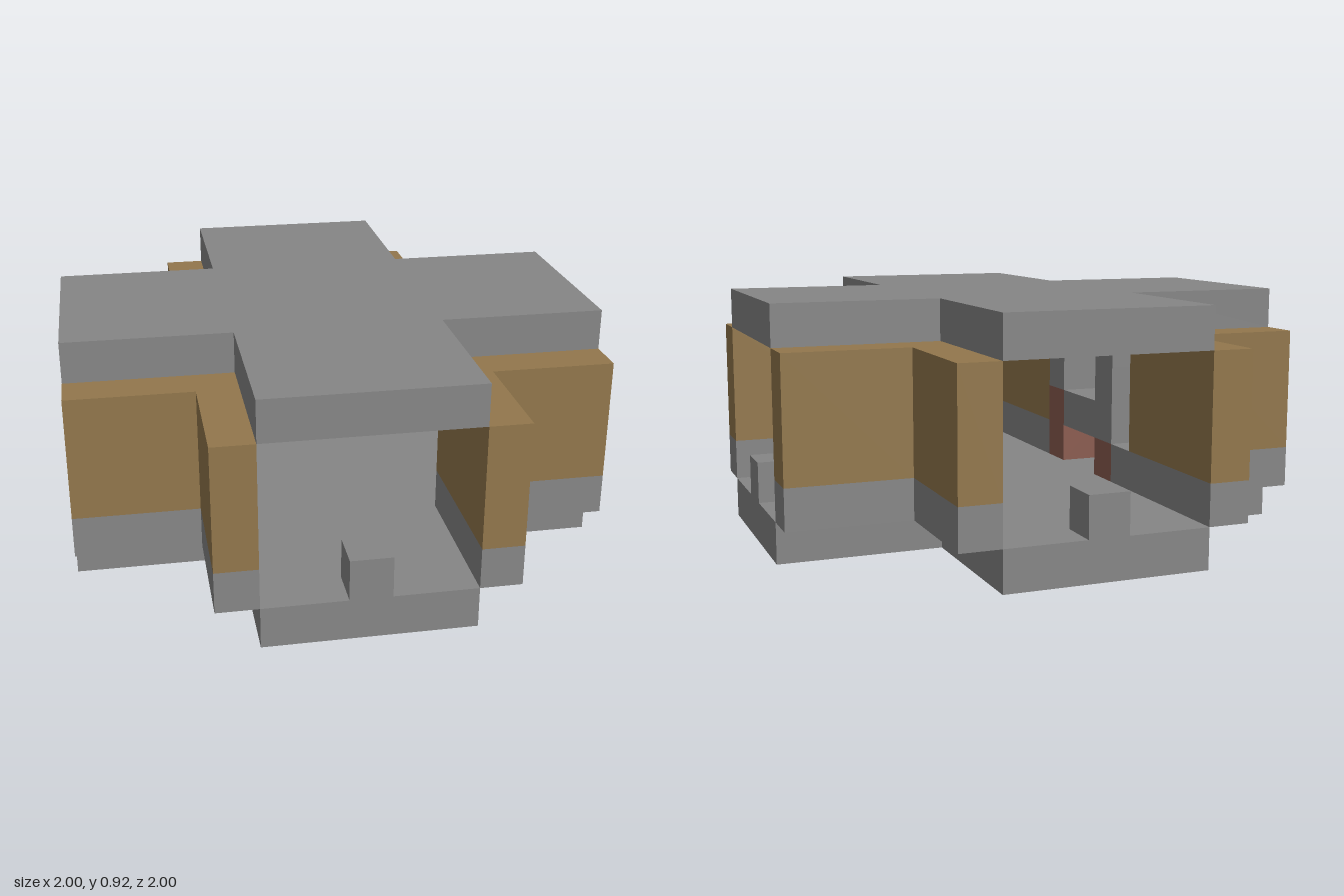
import * as THREE from 'three';

const U = 2 / 13; // one block

const stone = new THREE.MeshStandardMaterial({ name: 'stone grey', color: 0x868686 });
const timber = new THREE.MeshStandardMaterial({ name: 'timber brown', color: 0x92774c });
const brick = new THREE.MeshStandardMaterial({ name: 'brick red', color: 0x8b5c50 });

// Horizontal slab from a plan outline, in blocks, between heights y0 and y1
function slab(name, outline, y0, y1, material) {
  const shape = new THREE.Shape(outline.map(([x, y]) => new THREE.Vector2(x * U, y * U)));
  const geometry = new THREE.ExtrudeGeometry(shape, { depth: (y1 - y0) * U, bevelEnabled: false });
  geometry.rotateX(-Math.PI / 2).translate(0, y0 * U, 0);
  const mesh = new THREE.Mesh(geometry, material);
  mesh.name = name;
  return mesh;
}

// Box one block high and deep, running from x0 to x1 with its centre at z
function bar(name, x0, x1, y0, z, material) {
  const mesh = new THREE.Mesh(new THREE.BoxGeometry((x1 - x0) * U, U, U), material);
  mesh.position.set(((x0 + x1) / 2) * U, (y0 + 0.5) * U, z * U);
  mesh.name = name;
  return mesh;
}

export function createModel() {
  const group = new THREE.Group();
  group.name = 'crossroadTunnel';

  // Cross-shaped floor and roof
  const a = 2.5, b = 6.5;
  const cross = [[a, -b], [a, -a], [b, -a], [b, a], [a, a], [a, b],
    [-a, b], [-a, a], [-b, a], [-b, -a], [-a, -a], [-a, -b]];
  group.add(slab('floor', cross, 0, 1, stone), slab('roof', cross, 5, 6, stone));

  // L-shaped corner walls: stone base course with timber above
  const corner = [[a, a], [b, a], [b, a + 1], [a + 1, a + 1], [a + 1, b], [a, b]];
  for (let i = 0; i < 4; i++) {
    const wall = new THREE.Group();
    wall.name = 'cornerWall';
    wall.add(slab('wallBase', corner, 1, 2, stone), slab('wallTimber', corner, 2, 5, timber));
    wall.rotation.y = (i * Math.PI) / 2;
    group.add(wall);
  }

  // Single block at each open entrance
  group.add(bar('frontPost', -0.5, 0.5, 1, 6, stone));
  group.add(bar('backPost', -0.5, 0.5, 1, -6, stone));
  group.add(bar('leftPost', 5.5, 6.5, 1, 0, stone));

  // Rubble filling the right arm: inner end of each row, for z = -2 to 2
  const rubble = new THREE.Group();
  rubble.name = 'rubble';
  const ends = [
    [-2.5, -2.5, -3.5, -3.5, -2.5],
    [-3.5, -2.5, -2.5, -2.5, -2.5],
    [-4.5, -2.5, -3.5, -3.5, -2.5],
    [-4.5, -2.5, -3.5, -3.5, -3.5],
  ];
  const outerBricks = ['-1,4', '0,2', '1,1', '2,1', '2,2'];
  const innerBricks = ['-1,1', '2,1', '2,2'];
  ends.forEach((row, r) => row.forEach((end, c) => {
    const y = r + 1, z = c - 2, key = `${z},${y}`;
    rubble.add(bar('outerRubble', -6.5, -5.5, y, z, outerBricks.includes(key) ? brick : stone));
    if (end > -4.5) rubble.add(bar('middleRubble', -5.5, end - 1, y, z, stone));
    rubble.add(bar('innerRubble', end - 1, end, y, z, innerBricks.includes(key) ? brick : stone));
  }));
  group.add(rubble);

  return group;
}
